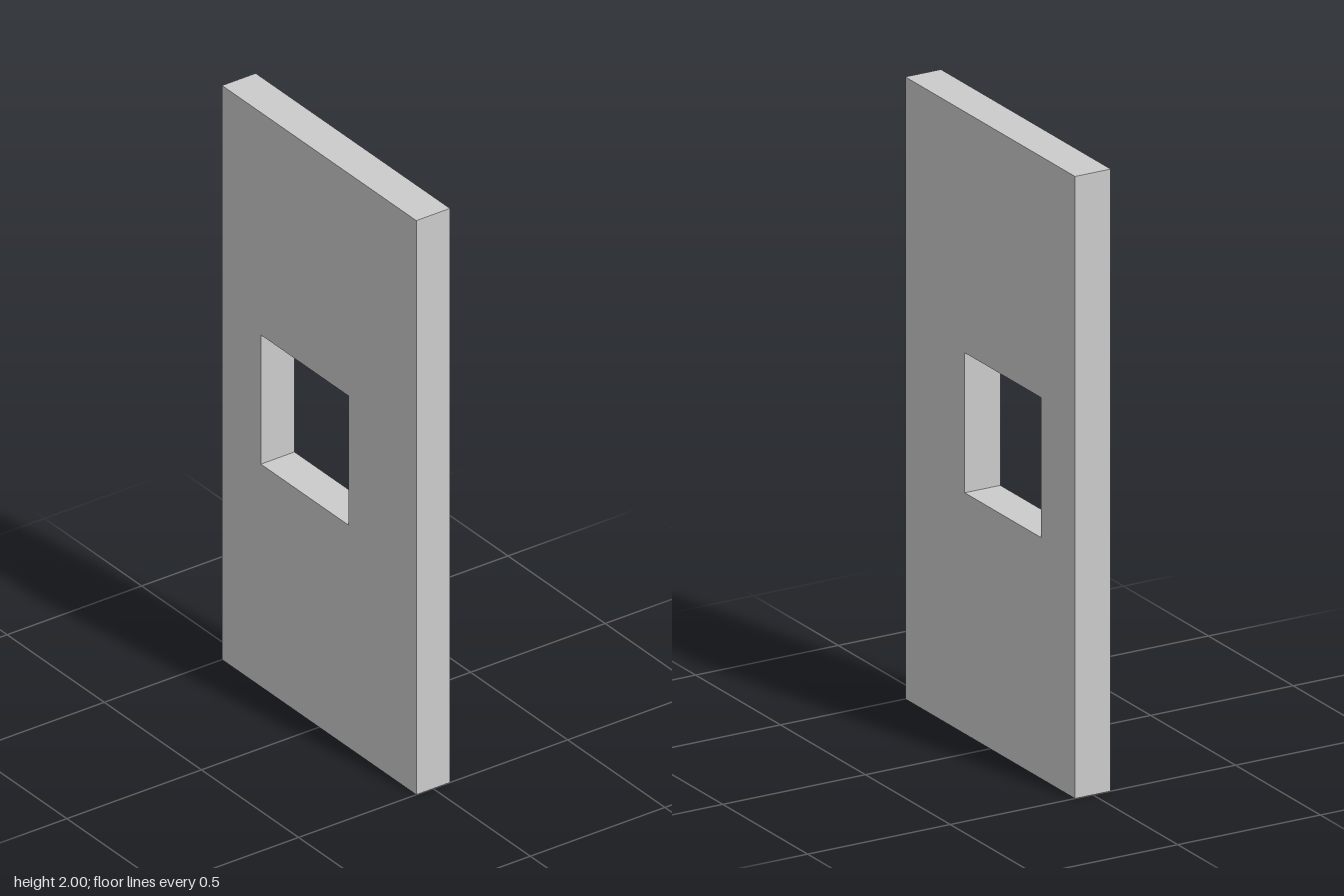
import * as THREE from 'three';

// Adds a closed rectangle to a shape or path
function rectangle(path, left, right, bottom, top) {
  path.moveTo(left, bottom);
  path.lineTo(right, bottom);
  path.lineTo(right, top);
  path.lineTo(left, top);
  path.closePath();
  return path;
}

export function createModel() {
  const thickness = 0.125;
  const group = new THREE.Group();
  group.name = 'wallPanelWithWindow';

  // Upright panel with an off-centre square window opening
  const outline = rectangle(new THREE.Shape(), -0.5, 0.5, 0, 2);
  outline.holes.push(rectangle(new THREE.Path(), -0.15, 0.3, 0.775, 1.225));

  const geometry = new THREE.ExtrudeGeometry(outline, { depth: thickness, bevelEnabled: false });
  geometry.translate(0, 0, -thickness / 2);
  geometry.rotateY(Math.PI / 2); // outline's horizontal axis becomes -z

  const panel = new THREE.Mesh(
    geometry,
    new THREE.MeshStandardMaterial({ color: 0xcccccc, flatShading: true })
  );
  panel.name = 'wallPanel';
  group.add(panel);
  return group;
}
